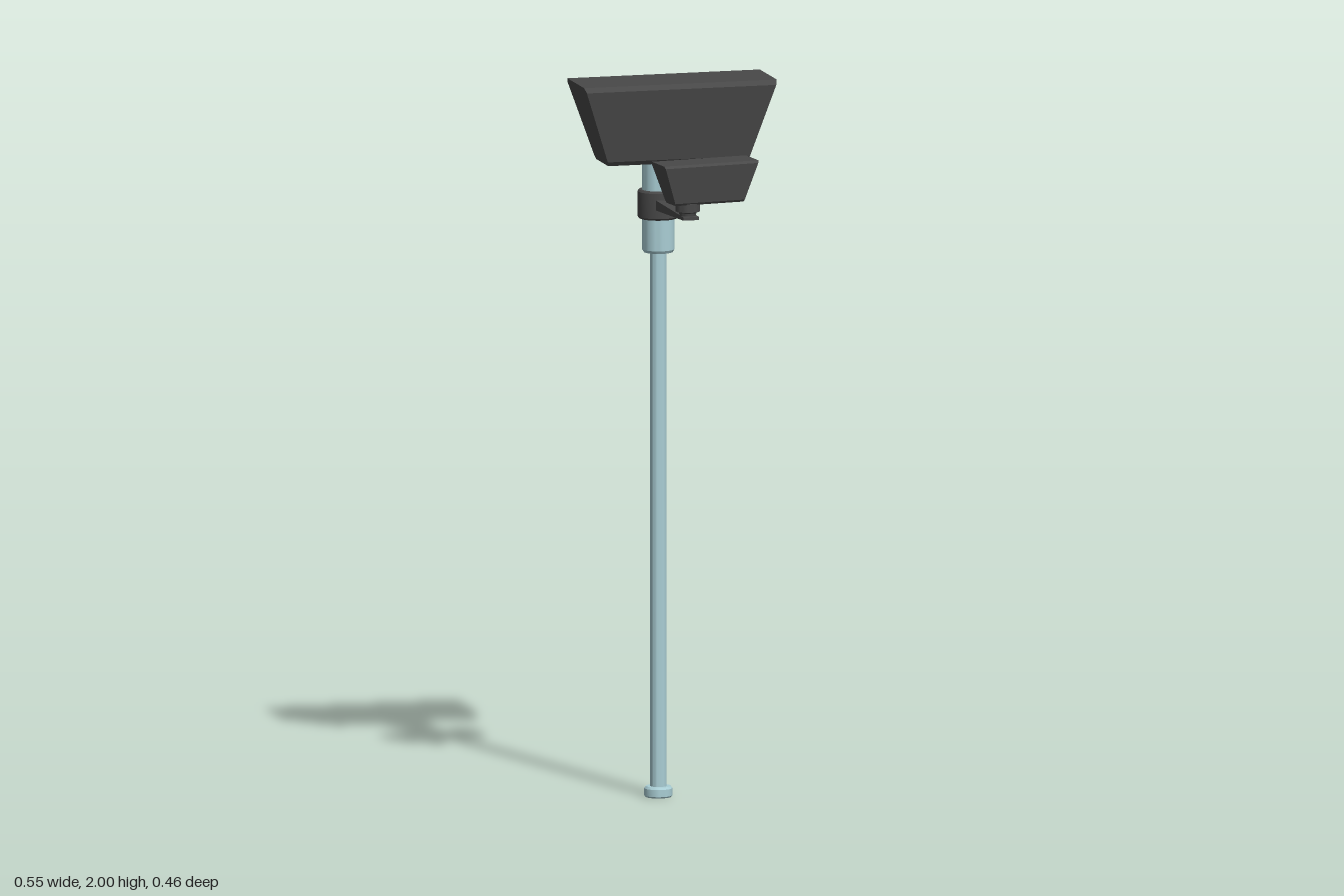
import * as THREE from 'three';
import { toCreasedNormals } from 'three/addons/utils/BufferGeometryUtils.js';

const mat = (color) => new THREE.MeshStandardMaterial({ color });
const dark = mat(0x484848);
const black = mat(0x2c2c2c);
const steel = mat(0xa9cdd4);
const glass = mat(0x5cc4c0);

function add(parent, name, geometry, material) {
  const mesh = new THREE.Mesh(geometry, material);
  mesh.name = name;
  parent.add(mesh);
  return mesh;
}

// Turned part with crisp edges; points are [radius, height] from bottom to top
function turned(points, segments = 28) {
  const profile = points.map(([r, y]) => new THREE.Vector2(r, y));
  return toCreasedNormals(new THREE.LatheGeometry(profile, segments), 0.5);
}

// Housing dimensions: the ends lean outwards towards the top
const HEIGHT = 0.225;
const halfLength = (y) => 0.199 + 0.076 * y / HEIGHT;
const section = [
  [0.062, 0], [0.071, 0.012], [0.099, 0.212], [0.087, HEIGHT],
  [-0.087, HEIGHT], [-0.099, 0.212], [-0.071, 0.012], [-0.062, 0],
].map(([z, y]) => new THREE.Vector2(z, y));
const MID = HEIGHT / 2;
const RECESS = 0.028;

// Extrudes the housing section along x between two slanted end planes
function housingPiece(shape, xStart, xEnd) {
  const geometry = new THREE.ExtrudeGeometry(shape, { depth: 1, bevelEnabled: false });
  geometry.rotateY(Math.PI / 2);
  const p = geometry.attributes.position;
  for (let i = 0; i < p.count; i++) {
    p.setX(i, p.getX(i) < 0.5 ? xStart(p.getY(i)) : xEnd(p.getY(i)));
  }
  geometry.computeVertexNormals();
  return geometry;
}

// Lens barrel with a glass dome, pointing along +x
function makeLens(radius, length) {
  const lens = new THREE.Group();
  lens.name = 'lens';
  const barrel = turned([
    [0, 0], [radius, 0], [radius, length * 0.8], [radius * 0.85, length],
    [radius * 0.66, length], [radius * 0.6, length * 0.8], [0, length * 0.8],
  ], 20);
  add(lens, 'lensBarrel', barrel, black).rotation.z = -Math.PI / 2;
  const dome = add(lens, 'lensGlass',
    new THREE.SphereGeometry(radius * 0.6, 20, 8, 0, Math.PI * 2, 0, Math.PI / 2), glass);
  dome.rotation.z = -Math.PI / 2;
  dome.scale.y = 0.4;
  dome.position.x = length * 0.8;
  return lens;
}

// Camera unit; lenses are [y, z, radius, length]
function makeCamera(name, lenses) {
  const camera = new THREE.Group();
  camera.name = name;
  const panelX = (y) => halfLength(y) - RECESS;
  add(camera, 'housing',
    housingPiece(new THREE.Shape(section), (y) => -halfLength(y), panelX), dark);

  // Open hood around the lens panel
  const rim = new THREE.Shape(section);
  rim.holes.push(new THREE.Path(section.map((v) =>
    new THREE.Vector2(v.x * 0.9, MID + (v.y - MID) * 0.92))));
  add(camera, 'hood', housingPiece(rim, panelX, halfLength), dark);

  for (const [y, z, radius, length] of lenses) {
    const lens = makeLens(radius, length);
    lens.position.set(panelX(y), y, z);
    lens.rotation.z = -Math.atan(0.076 / HEIGHT);
    camera.add(lens);
  }
  return camera;
}

export function createModel() {
  const model = new THREE.Group();
  model.name = 'cameraPost';
  const poleX = -0.04, poleZ = -0.13;

  // Post
  const post = new THREE.Group();
  post.name = 'post';
  post.position.set(poleX, 0, poleZ);
  model.add(post);
  add(post, 'foot', turned([
    [0, 0], [0.036, 0], [0.039, 0.004], [0.039, 0.024], [0.034, 0.03], [0, 0.03],
  ]), steel);
  add(post, 'pole', turned([[0.023, 0.02], [0.023, 1.54]]), steel);
  add(post, 'collar', turned([
    [0, 1.52], [0.04, 1.52], [0.045, 1.528], [0.045, 1.785], [0, 1.785],
  ]), steel);
  add(post, 'clamp', turned([
    [0.044, 1.615], [0.053, 1.615], [0.057, 1.62],
    [0.057, 1.69], [0.053, 1.695], [0.044, 1.695],
  ]), dark);

  // Main camera
  const main = makeCamera('mainCamera', [
    [0.145, 0, 0.036, 0.032],
    [0.08, -0.03, 0.022, 0.02],
    [0.087, 0.022, 0.013, 0.016],
  ]);
  main.position.set(0, 1.775, -0.133);
  model.add(main);

  // Tapered arm reaching forwards from the clamp
  const profile = new THREE.Shape([
    [-0.08, 1.644], [0.205, 1.661], [0.205, 1.67], [-0.08, 1.672],
  ].map(([z, y]) => new THREE.Vector2(-z, y)));
  const armGeometry = new THREE.ExtrudeGeometry(profile, { depth: 0.044, bevelEnabled: false });
  armGeometry.rotateY(Math.PI / 2);
  add(model, 'arm', armGeometry, dark).position.x = poleX - 0.021;

  // Swivel under the small camera
  add(model, 'swivel', turned([
    [0, 1.665], [0.022, 1.665], [0.024, 1.678], [0.034, 1.682], [0.034, 1.706], [0, 1.706],
  ]), dark).position.set(poleX, 0, 0.172);

  // Small camera, turned slightly
  const small = makeCamera('smallCamera', [
    [0.17, -0.035, 0.04, 0.05],
    [0.125, 0.035, 0.028, 0.03],
  ]);
  small.scale.setScalar(0.51);
  small.position.set(0.012, 1.703, 0.163);
  small.rotation.y = 0.125;
  model.add(small);

  return model;
}
